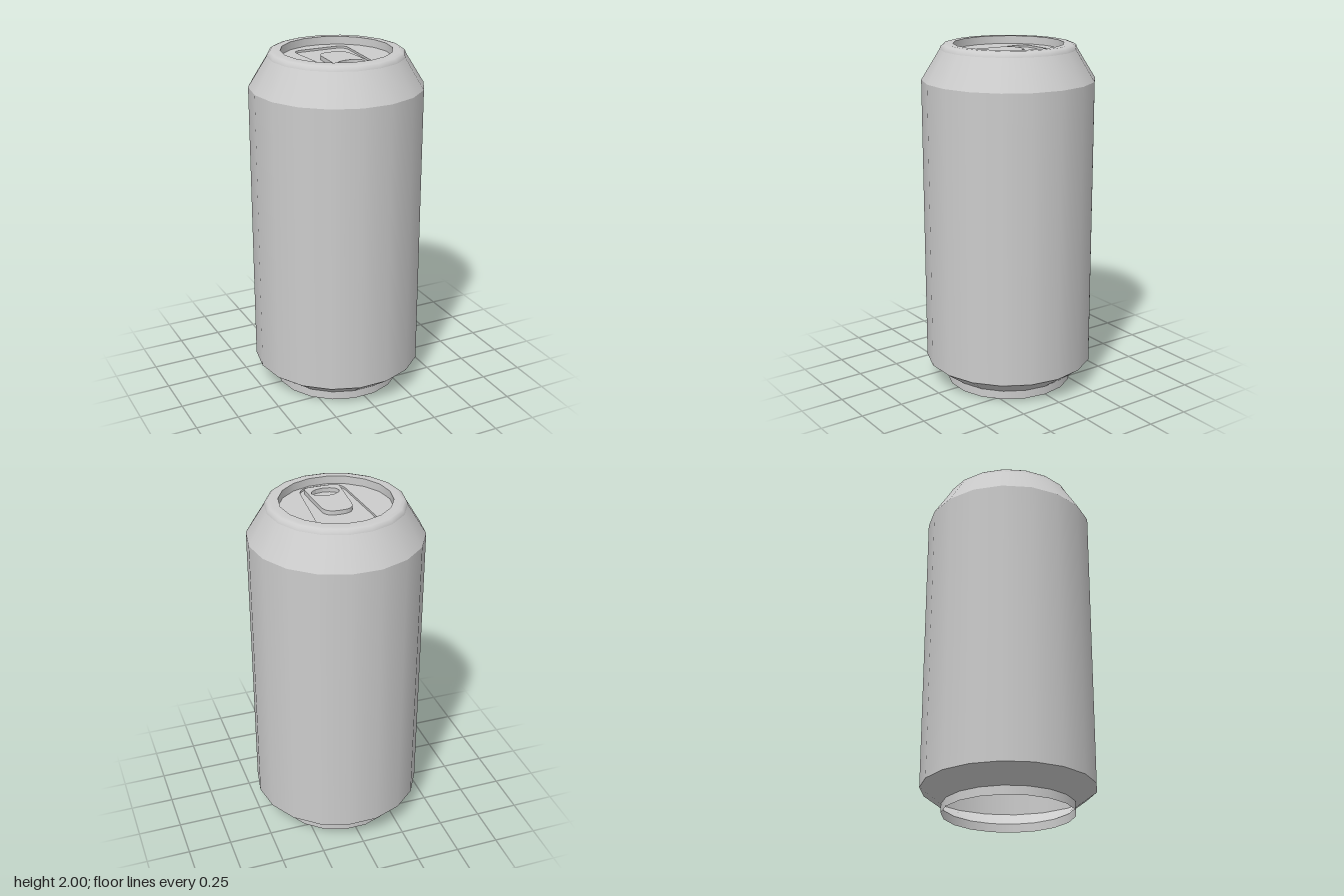
import * as THREE from 'three';

const SIDES = 18;
const LID_Y = 1.955;
const material = new THREE.MeshStandardMaterial({ color: 0xcccccc, side: THREE.DoubleSide });

// Revolved band from [radius, height] points, with a vertex on the x axis
function band(name, points) {
  const profile = points.map(([r, y]) => new THREE.Vector2(r, y));
  const geometry = new THREE.LatheGeometry(profile, SIDES, Math.PI / 2, Math.PI * 2);
  const mesh = new THREE.Mesh(geometry, material);
  mesh.name = name;
  return mesh;
}

// Left-right symmetric outline with rounded corners, from half of its [x, z, radius] corners
function roundedOutline(half) {
  const mirrored = half.map(([x, z, r]) => [-x, z, r]).reverse();
  const corners = [...half, ...mirrored];
  const shape = new THREE.Shape();
  corners.forEach(([x, z, r], i) => {
    const corner = new THREE.Vector2(x, z);
    const toward = (c) => new THREE.Vector2(c[0], c[1]).sub(corner).setLength(r).add(corner);
    const a = toward(corners[(i + corners.length - 1) % corners.length]);
    const b = toward(corners[(i + 1) % corners.length]);
    if (i === 0) shape.moveTo(a.x, a.y);
    else shape.lineTo(a.x, a.y);
    shape.quadraticCurveTo(corner.x, corner.y, b.x, b.y);
  });
  shape.closePath();
  return shape;
}

// Horizontal plate whose top face lies at the given height
function plate(name, shape, top, thickness) {
  const geometry = new THREE.ExtrudeGeometry(shape, {
    depth: thickness, bevelEnabled: false, curveSegments: 6,
  });
  geometry.rotateX(Math.PI / 2);
  const mesh = new THREE.Mesh(geometry, material);
  mesh.name = name;
  mesh.position.y = top;
  return mesh;
}

export function createModel() {
  const can = new THREE.Group();
  can.name = 'drinkCan';

  // Shell, open underneath; separate bands keep the creases sharp
  can.add(
    band('footRing', [[0.37, 0], [0.37, 0.05]]),
    band('lowerTaper', [[0.37, 0.05], [0.49, 0.14]]),
    band('body', [[0.49, 0.14], [0.49, 1.8]]),
    band('shoulder', [[0.49, 1.8], [0.385, 1.97]]),
    band('rim', [[0.385, 1.97], [0.38, 1.985], [0.368, 1.995], [0.35, 2], [0.31, 2]]),
    band('rimInnerWall', [[0.31, 2], [0.31, LID_Y]]),
  );

  // Lid with a shallow sunken panel
  const panelOutline = roundedOutline([
    [0.165, -0.23, 0.06], [0.125, 0.29, 0.08],
  ]);
  const lidShape = new THREE.Shape();
  for (let i = 0; i < SIDES; i++) {
    const a = (i / SIDES) * Math.PI * 2;
    const x = 0.31 * Math.cos(a), z = 0.31 * Math.sin(a);
    if (i === 0) lidShape.moveTo(x, z);
    else lidShape.lineTo(x, z);
  }
  lidShape.closePath();
  lidShape.holes.push(panelOutline);
  can.add(
    plate('lid', lidShape, LID_Y, 0.012),
    plate('lidPanel', panelOutline, LID_Y - 0.012, 0.005),
  );

  // Pull tab with a finger hole
  const tabOutline = roundedOutline([
    [0.083, -0.077, 0.07], [0.104, 0.262, 0.04],
  ]);
  const fingerHole = new THREE.Path();
  fingerHole.absellipse(0, 0.178, 0.08, 0.05, 0, Math.PI * 2, true);
  tabOutline.holes.push(fingerHole);
  can.add(plate('pullTab', tabOutline, LID_Y + 0.012, 0.024));

  return can;
}
